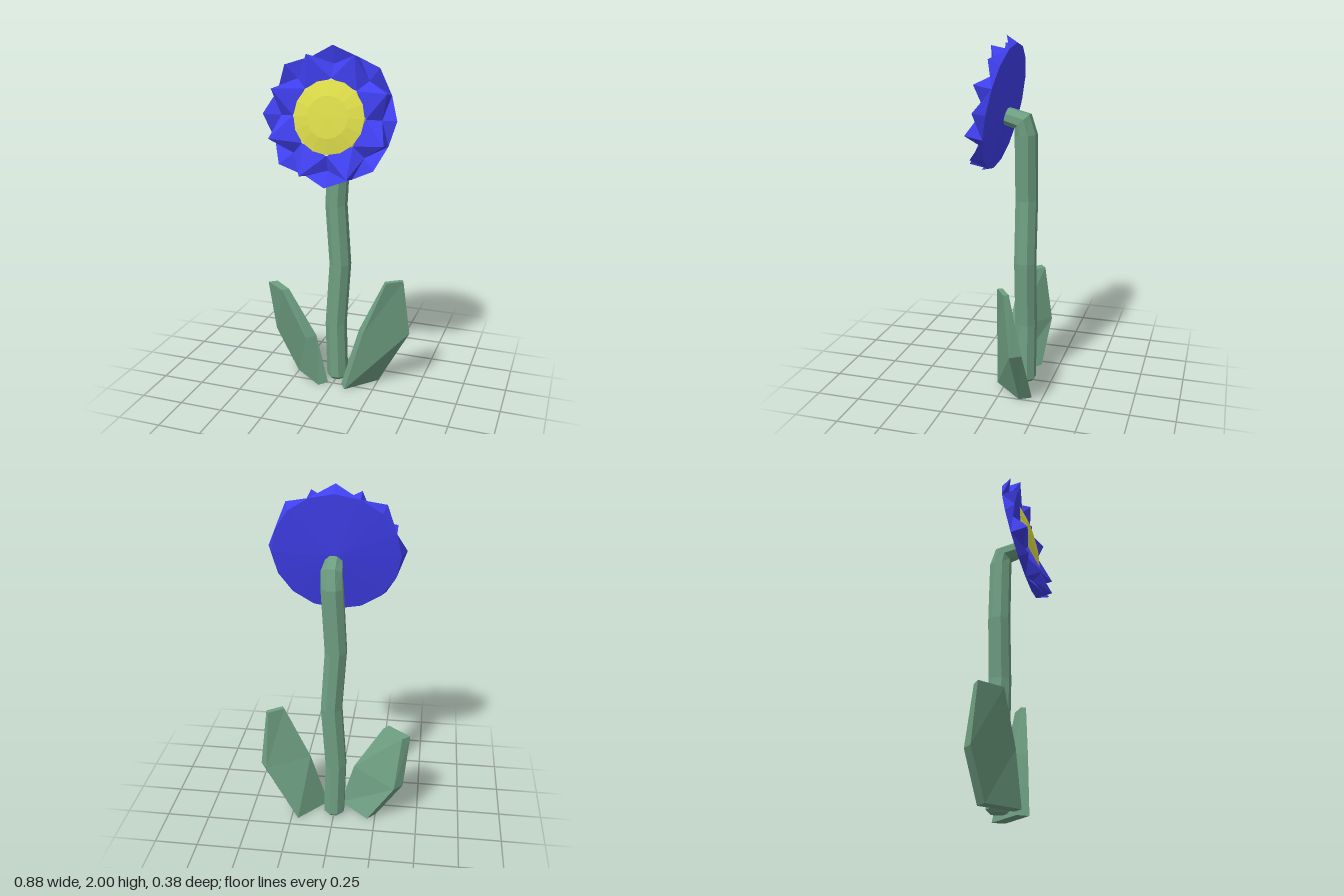
import * as THREE from 'three';

const material = (color) => new THREE.MeshStandardMaterial({ color, flatShading: true });
const GREEN = material(0x6fa083);
const BLUE = material(0x4040f0);
const YELLOW = material(0xdcdc4a);

// Mesh from a list of triangles given as Vector3 corners
function meshFrom(corners, mat, name) {
  const geometry = new THREE.BufferGeometry().setFromPoints(corners);
  geometry.computeVertexNormals();
  const mesh = new THREE.Mesh(geometry, mat);
  mesh.name = name;
  return mesh;
}

// Closed skin over rings of equal size, each counter-clockwise about the direction of travel
function loft(rings, mat, name) {
  const out = [];
  const n = rings[0].length;
  for (let i = 0; i < rings.length - 1; i++) {
    for (let j = 0; j < n; j++) {
      const k = (j + 1) % n;
      const a = rings[i][j], b = rings[i][k], c = rings[i + 1][k], d = rings[i + 1][j];
      out.push(a, b, c, a, c, d);
    }
  }
  const first = rings[0], last = rings[rings.length - 1];
  for (let j = 1; j < n - 1; j++) {
    out.push(first[0], first[j + 1], first[j], last[0], last[j], last[j + 1]);
  }
  return meshFrom(out, mat, name);
}

// Eight-sided ring around a path point, tipped forward by tilt
function stemRing([x, y, z, radius, tilt]) {
  return Array.from({ length: 8 }, (_, i) => {
    const a = (i + 0.5) * Math.PI / 4;
    const s = Math.sin(a) * radius;
    return new THREE.Vector3(x + Math.cos(a) * radius, y + s * Math.sin(tilt), z - s * Math.cos(tilt));
  });
}

const corners = (list) => list.map((p) => new THREE.Vector3(...p));

function createPetals() {
  const polar = (step, r, w) => {
    const a = step * Math.PI / 8;
    return new THREE.Vector3(Math.cos(a) * r, Math.sin(a) * r, w);
  };
  const rim = (s) => polar(s, 0.35, -0.065);
  const outerTip = (s) => polar(s, 0.378, 0);
  const innerTip = (s) => polar(s, 0.35, 0.035);
  const crease = (s) => polar(s, 0.285, -0.045);
  const valley = (s) => polar(s, 0.205, -0.01);
  const back = new THREE.Vector3(0, 0, -0.092);
  const out = [];
  for (let s = 0; s < 16; s += 2) {
    const b = s + 1;
    // Two mirrored halves: from an outer petal to the inner petal beside it
    for (const a of [s, s + 2]) {
      const tri = (p, q, r) => (a === s ? out.push(p, q, r) : out.push(p, r, q));
      tri(back, rim(b), rim(a));
      tri(rim(a), rim(b), outerTip(a));
      tri(outerTip(a), rim(b), crease(a));
      tri(crease(a), rim(b), innerTip(b));
      tri(valley(a), crease(a), innerTip(b));
    }
    out.push(valley(s), innerTip(b), valley(s + 2));
  }
  return meshFrom(out, BLUE, 'petals');
}

export function createModel() {
  const flower = new THREE.Group();
  flower.name = 'flower';

  // Stem: slightly wavy, bending forward into the head (x, y, z, radius, tilt)
  const path = [
    [0, 0, -0.095, 0.045, 0],
    [0, 0.02, -0.095, 0.064, 0],
    [-0.01, 0.36, -0.095, 0.064, 0],
    [0.015, 0.74, -0.095, 0.064, 0],
    [-0.01, 1.1, -0.095, 0.064, 0],
    [0.01, 1.47, -0.095, 0.064, 0.1],
    [0.015, 1.545, -0.078, 0.062, 0.75],
    [0.015, 1.575, 0.03, 0.05, 1.3],
  ];
  flower.add(loft(path.map(stemRing), GREEN, 'stem'));

  // Leaves: three four-cornered sections each
  flower.add(loft([
    corners([[0.09, 0, 0.05], [0.25, 0, -0.125], [0.21, 0, -0.19], [0.05, 0, -0.01]]),
    corners([[0.19, 0.36, 0.02], [0.435, 0.34, -0.12], [0.395, 0.34, -0.178], [0.15, 0.36, -0.045]]),
    corners([[0.315, 0.68, -0.02], [0.4, 0.68, -0.08], [0.385, 0.68, -0.105], [0.3, 0.68, -0.045]]),
  ], GREEN, 'leftLeaf'));
  flower.add(loft([
    corners([[-0.255, 0, -0.09], [-0.075, 0, 0.05], [-0.03, 0, 0], [-0.205, 0, -0.145]]),
    corners([[-0.41, 0.25, -0.12], [-0.155, 0.29, 0.04], [-0.11, 0.29, -0.02], [-0.36, 0.25, -0.17]]),
    corners([[-0.44, 0.57, -0.08], [-0.31, 0.57, 0.02], [-0.28, 0.57, -0.015], [-0.395, 0.57, -0.115]]),
  ], GREEN, 'rightLeaf'));

  // Head: petals and domed centre, tipped back a little
  const head = new THREE.Group();
  head.name = 'head';
  const profile = [[0.2, -0.02], [0.2, -0.005], [0.115, 0.015], [0, 0.018]];
  const dome = new THREE.LatheGeometry(profile.map((p) => new THREE.Vector2(...p)), 16);
  const centre = new THREE.Mesh(dome.rotateX(Math.PI / 2), YELLOW);
  centre.name = 'flowerCentre';
  head.add(createPetals(), centre);
  head.position.set(0.005, 1.629, 0.09);
  head.rotation.x = -0.196;
  flower.add(head);

  return flower;
}
